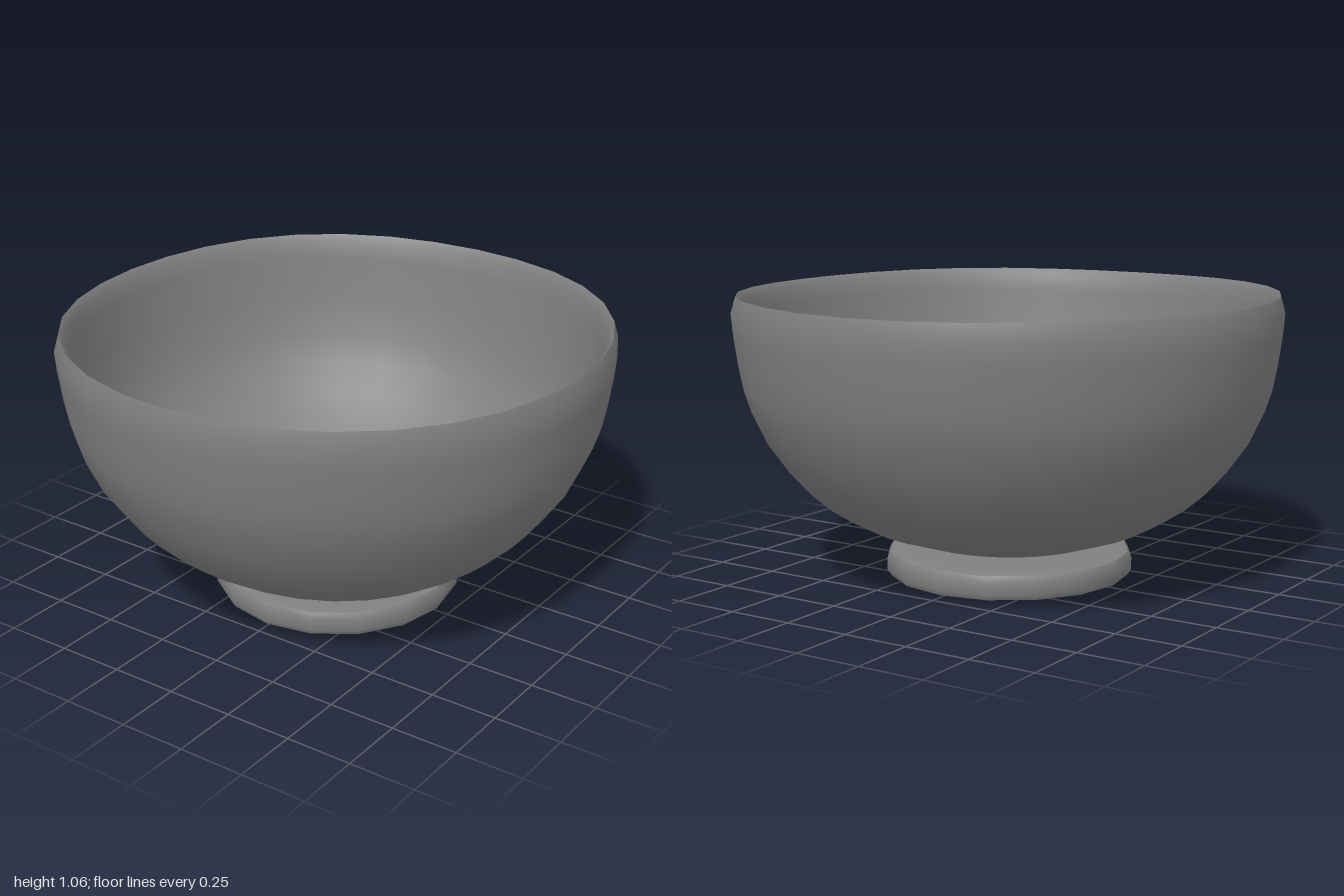
import * as THREE from 'three';

const material = new THREE.MeshStandardMaterial({ color: 0x808080, side: THREE.DoubleSide });

// Smooth surface of revolution from [radius, height] pairs, listed bottom to top on the outside
function turned(name, profile, sides) {
  const points = profile.map(([r, y]) => new THREE.Vector2(r, y));
  const mesh = new THREE.Mesh(new THREE.LatheGeometry(points, sides), material);
  mesh.name = name;
  return mesh;
}

// Swells the wall a little along the diagonals, so the round is slightly squared
function swellDiagonals(mesh) {
  const pos = mesh.geometry.attributes.position;
  for (let i = 0; i < pos.count; i++) {
    const x = pos.getX(i), y = pos.getY(i), z = pos.getZ(i);
    const diagonal = (1 - Math.cos(4 * Math.atan2(z, x))) / 2;
    const swell = 1 + 0.02 * diagonal;
    pos.setXYZ(i, x * swell, y + 0.004 * diagonal * y, z * swell);
  }
  return mesh;
}

export function createModel() {
  const group = new THREE.Group();
  group.name = 'footedBowl';

  // Bowl: outer wall up to the tapered rim, and an inner wall flaring out to meet it
  const bowl = new THREE.Group();
  bowl.name = 'bowl';
  const outer = [
    [0, 0.1], [0.18, 0.105], [0.365, 0.145], [0.53, 0.2], [0.61, 0.243], [0.685, 0.292],
    [0.75, 0.348], [0.805, 0.41], [0.882, 0.52], [0.937, 0.64], [0.962, 0.72], [0.979, 0.81],
    [0.994, 0.92], [1.001, 1.0], [0.984, 1.06],
  ];
  const inner = [
    [0.984, 1.06], [0.962, 1.035], [0.949, 0.97], [0.926, 0.81], [0.889, 0.657], [0.84, 0.55],
    [0.766, 0.447], [0.652, 0.332], [0.512, 0.247], [0.353, 0.194], [0.175, 0.155], [0, 0.15],
  ];
  bowl.add(
    swellDiagonals(turned('outerWall', outer, 32)),
    swellDiagonals(turned('innerWall', inner, 32)),
  );
  group.add(bowl);

  // Foot: coarse disc with a rounded edge and shallow domed faces
  const foot = new THREE.Group();
  foot.name = 'foot';
  foot.add(
    turned('footEdge', [[0.452, 0.008], [0.465, 0.03], [0.465, 0.075], [0.452, 0.096]], 16),
    turned('footBase', [[0, 0], [0.41, 0], [0.452, 0.008]], 16),
    turned('footTop', [[0.452, 0.096], [0.41, 0.104], [0, 0.104]], 16),
  );
  group.add(foot);

  return group;
}
